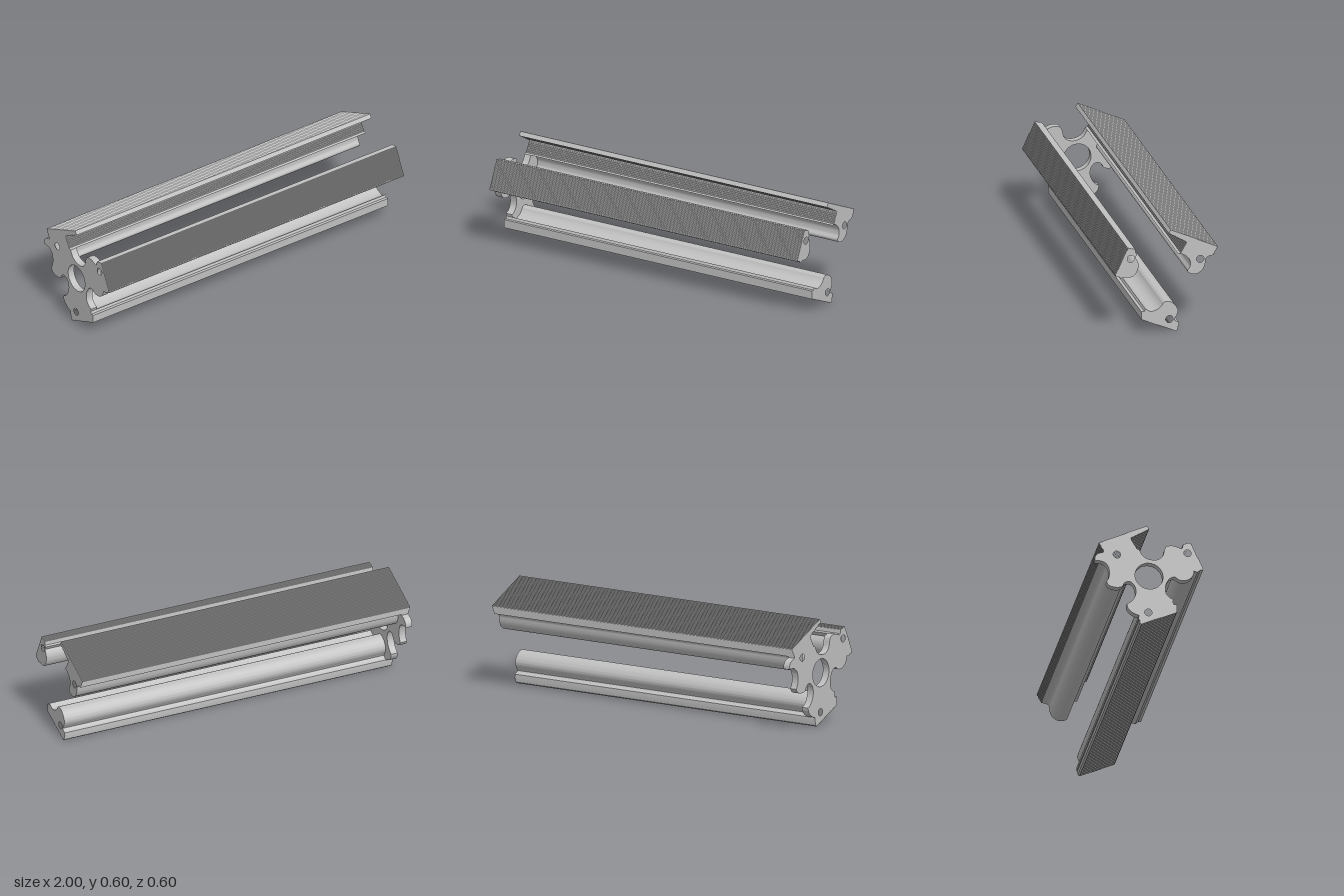
import * as THREE from 'three';
import { toCreasedNormals } from 'three/addons/utils/BufferGeometryUtils.js';

// All cross-sections are [z, y] points, extruded along x.
const vec = (pts) => pts.map(([z, y]) => new THREE.Vector2(z, y));
const smooth = (pts) => new THREE.SplineCurve(vec(pts)).getPoints(pts.length * 4);

// Fine serrated edge from a to b
function stairs([az, ay], [bz, by], n) {
  const out = [];
  for (let i = 0; i < n; i++) {
    const z0 = az + (bz - az) * i / n, z1 = az + (bz - az) * (i + 1) / n;
    const y0 = ay + (by - ay) * i / n, y1 = ay + (by - ay) * (i + 1) / n;
    const zm = (z0 + z1) / 2;
    out.push([z0, y0], [zm, y0], [zm, y1], [z1, y1]);
  }
  return vec(out);
}

function extrudeX(name, outline, hole, x0, x1, material) {
  const clean = outline.filter((p, i) => p.distanceTo(outline[(i + 1) % outline.length]) > 1e-5);
  const shape = new THREE.Shape(clean);
  const [hz, hy, r] = hole;
  shape.holes.push(new THREE.Path().absarc(hz, hy, r, 0, Math.PI * 2, true));
  const geo = new THREE.ExtrudeGeometry(shape, { depth: x1 - x0, bevelEnabled: false, curveSegments: 32 });
  geo.rotateY(-Math.PI / 2).translate(x1, 0, 0);
  const mesh = new THREE.Mesh(toCreasedNormals(geo, 0.55), material);
  mesh.name = name;
  return mesh;
}

export function createModel() {
  const group = new THREE.Group();
  group.name = 'threeBarFrame';
  const grey = new THREE.MeshStandardMaterial({ color: 0xc0c0c0 });
  grey.name = 'light grey';

  // Curved seams shared by the bars and the end plate
  const upperSeam = smooth([[-.055, .451], [-.079, .449], [-.105, .431], [-.122, .404], [-.121, .372], [-.108, .352],
    [-.114, .336], [-.141, .326], [-.168, .329], [-.195, .351], [-.207, .381], [-.211, .41], [-.23, .424], [-.252, .426]]);
  const lowerSeam = [...vec([[-.057, .053]]), ...smooth([[-.043, .059], [-.032, .071], [-.048, .097], [-.053, .123],
    [-.04, .152], [-.016, .173], [.01, .18], [.028, .175], [.039, .159], [.061, .14], [.1, .13], [.132, .148]])];
  const frontSeam = smooth([[.248, .345], [.229, .342], [.207, .343], [.189, .356], [.175, .381],
    [.171, .413], [.179, .438], [.189, .454]]);

  // Upper bar with its overhanging lip
  group.add(extrudeX('upperBar', [
    ...upperSeam,
    ...stairs([-.252, .426], [-.279, .474], 6),
    ...stairs([-.279, .474], [-.0125, .598], 32),
    ...vec([[0, .578]]),
    ...stairs([0, .578], [-.1, .519], 12),
    ...stairs([-.1, .512], [-.067, .455], 7),
  ], [-.179, .411, .0205], -1, 1, grey));

  // Lower bar
  group.add(extrudeX('lowerBar', [
    ...lowerSeam,
    ...vec([[.138, .134], [.155, .134], [.155, .088]]),
    ...stairs([.155, .088], [-.041, .001], 24),
    ...vec([[-.05, .008], [-.053, .029], [-.058, .03]]),
  ], [-.004, .075, .0205], -1, 1, grey));

  // Front bar
  group.add(extrudeX('frontBar', [
    ...frontSeam,
    ...vec([[.178, .474], [.186, .481], [.189, .503]]),
    ...stairs([.189, .503], [.23, .514], 4),
    ...stairs([.23, .514], [.302, .363], 24),
    ...vec([[.3, .355], [.284, .353], [.27, .34], [.25, .345]]),
  ], [.214, .45, .0205], -1, 1, grey));

  // End plate joining the three bars
  group.add(extrudeX('endPlate', [
    ...smooth([[.178, .474], [.145, .487], [.118, .488], [.096, .481], [.086, .463], [.082, .443], [.075, .422],
      [.055, .402], [.025, .394], [-.007, .399], [-.032, .413], [-.045, .431], [-.055, .451]]),
    ...upperSeam,
    ...smooth([[-.252, .42], [-.284, .409], [-.3, .388], [-.302, .365]]),
    ...smooth([[-.302, .365], [-.275, .366], [-.248, .359], [-.227, .336], [-.22, .297], [-.225, .266], [-.236, .243]]),
    ...smooth([[-.236, .243], [-.225, .224], [-.204, .215], [-.177, .213], [-.15, .22], [-.139, .24], [-.123, .252],
      [-.102, .252], [-.082, .234], [-.073, .207], [-.075, .177], [-.088, .148], [-.105, .129], [-.123, .118]]),
    ...smooth([[-.123, .118], [-.118, .095], [-.1, .073], [-.079, .061], [-.057, .054]]),
    ...lowerSeam,
    ...smooth([[.136, .165], [.114, .175], [.096, .197], [.091, .224], [.096, .256], [.111, .284], [.127, .297],
      [.145, .3], [.163, .288], [.18, .283], [.207, .286], [.232, .3], [.245, .32], [.25, .338]]),
    ...frontSeam,
  ], [0, .295, .078], -1, -.96, grey));

  return group;
}
